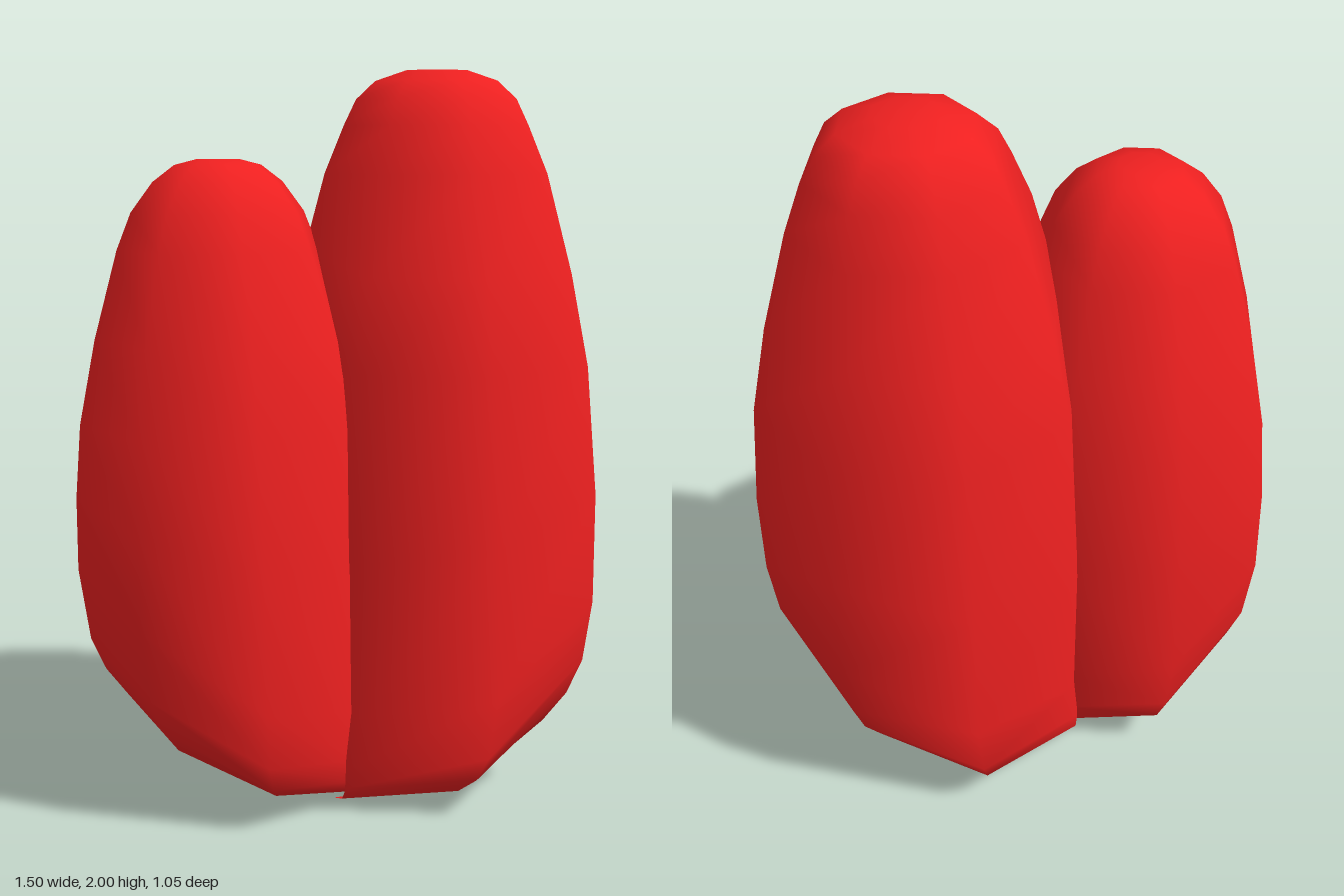
import * as THREE from 'three';

// Eight-sided section: x and z factors round the ring
const COS = [1, 0.73, 0, -0.73, -1, -0.73, 0, 0.73];
const SIN = [0, 0.71, 1, 0.71, 0, -0.71, -1, -0.71];
const SIDES = 8;

// Keep only the part of a triangle on the outer side of the plane x = seam
function clip(tri, seam, side) {
  const out = [];
  tri.forEach((a, i) => {
    const b = tri[(i + 1) % tri.length];
    const da = (a.p.x - seam) * side, db = (b.p.x - seam) * side;
    if (da >= 0) out.push(a);
    if (da * db < 0) {
      const t = da / (da - db);
      out.push({ p: a.p.clone().lerp(b.p, t), n: a.n.clone().lerp(b.n, t).normalize() });
    }
  });
  return out;
}

// rows: [centre x, x radius, z radius, heights at the outer, diagonal, front and inner columns]
function lobeGeometry(rows, side, seam) {
  const pos = [], index = [];
  rows.forEach(([cx, rx, rz, ...h]) => {
    for (let k = 0; k < SIDES; k++) {
      const col = Math.min(k, SIDES - k); // 0 outer ... 4 inner
      const y = h[Math.min(col, h.length - 1)];
      pos.push(cx + side * rx * COS[k], y, rz * SIN[k]);
    }
  });
  for (let r = 0; r < rows.length - 1; r++) {
    for (let k = 0; k < SIDES; k++) {
      const a = r * SIDES + k, b = r * SIDES + (k + 1) % SIDES;
      const c = a + SIDES, d = b + SIDES;
      if (side > 0) index.push(a, c, b, b, c, d);
      else index.push(a, b, c, b, d, c);
    }
  }
  const full = new THREE.BufferGeometry();
  full.setAttribute('position', new THREE.Float32BufferAttribute(pos, 3));
  full.setIndex(index);
  full.computeVertexNormals();

  // Cut away the hidden inner wall so both lobes share one hollow
  const P = [], N = [];
  const vert = (i) => ({
    p: new THREE.Vector3().fromBufferAttribute(full.attributes.position, i),
    n: new THREE.Vector3().fromBufferAttribute(full.attributes.normal, i),
  });
  for (let i = 0; i < index.length; i += 3) {
    const poly = clip([vert(index[i]), vert(index[i + 1]), vert(index[i + 2])], seam, side);
    for (let j = 1; j + 1 < poly.length; j++) {
      for (const v of [poly[0], poly[j], poly[j + 1]]) {
        P.push(...v.p.toArray());
        N.push(...v.n.toArray());
      }
    }
  }
  const geo = new THREE.BufferGeometry();
  geo.setAttribute('position', new THREE.Float32BufferAttribute(P, 3));
  geo.setAttribute('normal', new THREE.Float32BufferAttribute(N, 3));
  return geo;
}

export function createModel() {
  const group = new THREE.Group();
  group.name = 'twinLobes';
  const red = new THREE.MeshStandardMaterial({ color: 0xee2020, side: THREE.DoubleSide });

  // Tall lobe, from the slanted open rim up to the rounded top
  const tall = [
    [0.17, 0.36, 0.32, 0.20, 0.15, 0.045, 0],
    [0.21, 0.41, 0.42, 0.29, 0.19, 0.06, 0.025],
    [0.24, 0.44, 0.48, 0.38, 0.28, 0.11, 0.07],
    [0.26, 0.46, 0.515, 0.48, 0.38, 0.18, 0.14],
    [0.28, 0.465, 0.525, 0.65, 0.55, 0.34, 0.28],
    [0.28, 0.47, 0.515, 0.90, 0.85, 0.75, 0.70],
    [0.28, 0.45, 0.46, 1.20],
    [0.28, 0.40, 0.405, 1.45],
    [0.28, 0.325, 0.33, 1.72],
    [0.28, 0.27, 0.27, 1.85],
    [0.28, 0.235, 0.235, 1.92],
    [0.28, 0.18, 0.18, 1.97],
    [0.28, 0.09, 0.09, 2.0],
    [0.28, 0, 0, 2.0],
  ];
  // Short lobe
  const short = [
    [-0.25, 0.27, 0.29, 0.22, 0.16, 0.06, 0.005],
    [-0.29, 0.33, 0.37, 0.28, 0.20, 0.085, 0.03],
    [-0.31, 0.37, 0.42, 0.36, 0.27, 0.12, 0.07],
    [-0.325, 0.395, 0.445, 0.45, 0.36, 0.19, 0.14],
    [-0.335, 0.415, 0.455, 0.65, 0.55, 0.34, 0.28],
    [-0.335, 0.415, 0.445, 0.85, 0.80, 0.72, 0.68],
    [-0.34, 0.395, 0.405, 1.05],
    [-0.34, 0.35, 0.355, 1.28],
    [-0.345, 0.28, 0.28, 1.52],
    [-0.345, 0.24, 0.24, 1.62],
    [-0.345, 0.18, 0.18, 1.70],
    [-0.345, 0.12, 0.12, 1.745],
    [-0.345, 0.06, 0.06, 1.76],
    [-0.345, 0, 0, 1.76],
  ];
  const add = (name, rows, side, seam) => {
    const mesh = new THREE.Mesh(lobeGeometry(rows, side, seam), red);
    mesh.name = name;
    group.add(mesh);
  };
  add('tallLobe', tall, 1, -0.085);
  add('shortLobe', short, -1, -0.06);
  return group;
}
